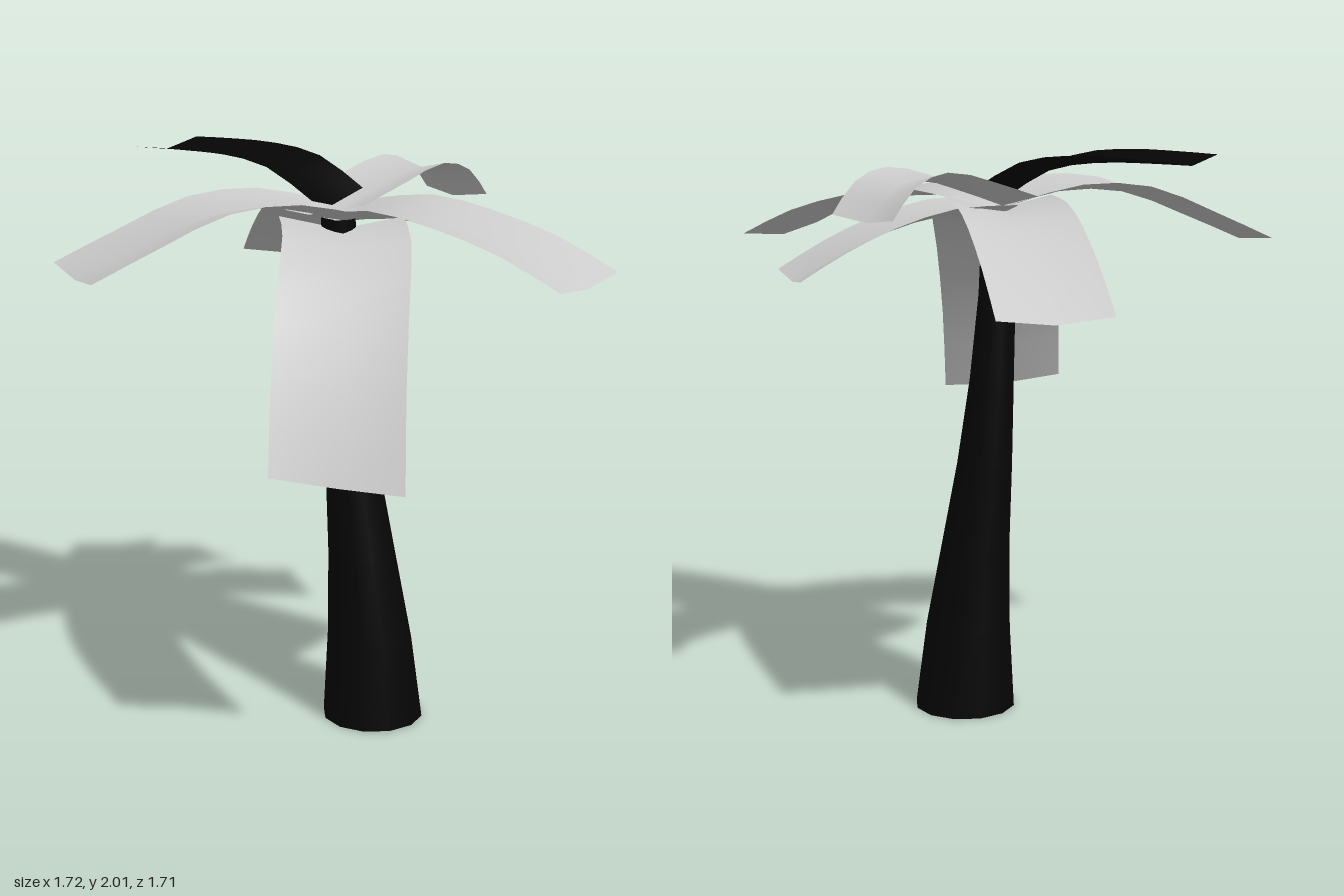
import * as THREE from 'three';

const grey = new THREE.MeshStandardMaterial({ color: 0xcccccc, side: THREE.DoubleSide });
const black = new THREE.MeshStandardMaterial({ color: 0x050505, side: THREE.DoubleSide });

// Leaning, tapered trunk: an open cylinder whose rings follow y, centre x, centre z, radius
function makeTrunk() {
  const rings = [
    [0, 0.197, 0.09, 0.18], [0.3, 0.187, 0.078, 0.152], [0.6, 0.165, 0.055, 0.122],
    [0.9, 0.138, 0.03, 0.098], [1.2, 0.118, 0.008, 0.078], [1.5, 0.1, 0, 0.065], [1.8, 0.09, 0, 0.06],
  ];
  const last = rings.length - 1;
  const geo = new THREE.CylinderGeometry(1, 1, last, 12, last, true);
  const p = geo.attributes.position;
  for (let i = 0; i < p.count; i++) {
    const [y, cx, cz, r] = rings[Math.round(p.getY(i) + last / 2)];
    p.setXYZ(i, cx + p.getX(i) * r, y, cz + p.getZ(i) * r);
  }
  geo.computeVertexNormals();
  return new THREE.Mesh(geo, black);
}

// Gutter-shaped strip: a curved midrib with two raised edges
function makeFrond({ path, base, tip, material = grey }) {
  const steps = 8;
  const curve = new THREE.CatmullRomCurve3(path.map((q) => new THREE.Vector3(...q)));
  const sideA = new THREE.Vector3(...base);
  const sideB = new THREE.Vector3(...tip);
  const pos = [], idx = [];
  for (let i = 0; i <= steps; i++) {
    const t = i / steps;
    const mid = curve.getPoint(t);
    const side = sideA.clone().lerp(sideB, t);
    const up = side.clone().cross(curve.getTangent(t)).normalize();
    if (up.y < 0) up.negate();
    up.multiplyScalar(0.045 - 0.02 * t);
    for (const s of [-1, 0, 1]) {
      const v = mid.clone().addScaledVector(side, s);
      if (s) v.add(up);
      pos.push(v.x, v.y, v.z);
    }
    if (i < steps) {
      for (const k of [0, 1]) {
        const a = i * 3 + k;
        idx.push(a, a + 1, a + 3, a + 1, a + 4, a + 3);
      }
    }
  }
  const geo = new THREE.BufferGeometry();
  geo.setAttribute('position', new THREE.Float32BufferAttribute(pos, 3));
  geo.setIndex(idx);
  geo.computeVertexNormals();
  // turn the upper face outwards
  if (geo.attributes.normal.getY(4) < 0) {
    geo.setIndex(idx.reverse());
    geo.computeVertexNormals();
  }
  return new THREE.Mesh(geo, material);
}

// Each frond: midrib points and the half-width vector at base and tip
const fronds = {
  darkFrond: {
    path: [[0.085, 1.835, -0.05], [-0.02, 1.935, -0.19], [-0.13, 1.968, -0.33], [-0.24, 1.975, -0.475], [-0.348, 1.975, -0.615]],
    base: [0.13, 0, -0.11], tip: [0.137, 0, -0.105], material: black,
  },
  backFrond: {
    path: [[0.09, 1.79, 0.02], [0.115, 1.79, -0.2], [0.14, 1.745, -0.4], [0.165, 1.645, -0.62], [0.19, 1.525, -0.825]],
    base: [0.187, 0, 0.02], tip: [0.187, 0, 0.022],
  },
  backLeftFrond: {
    path: [[0.1, 1.81, -0.06], [0.28, 1.875, -0.13], [0.45, 1.92, -0.23], [0.56, 1.89, -0.285], [0.645, 1.8, -0.325]],
    base: [0.06, 0, 0.155], tip: [0.066, 0, 0.125],
  },
  leftFrond: {
    path: [[0.09, 1.78, -0.03], [0.3, 1.78, -0.03], [0.5, 1.73, -0.028], [0.67, 1.66, -0.028], [0.82, 1.58, -0.027]],
    base: [0, 0, 0.167], tip: [0, 0, 0.167],
  },
  frontLeftFrond: {
    path: [[0.1, 1.79, -0.01], [0.25, 1.83, 0.175], [0.4, 1.8, 0.36], [0.55, 1.74, 0.545], [0.685, 1.65, 0.71]],
    base: [0.165, 0, -0.13], tip: [0.165, 0, -0.13],
  },
  frontFrond: {
    path: [[0.1, 1.76, 0], [0.05, 1.73, 0.2], [-0.02, 1.6, 0.37], [-0.09, 1.35, 0.53], [-0.14, 1.05, 0.66]],
    base: [0.2, 0, 0.07], tip: [0.2, -0.025, 0.087],
  },
  rightFrond: {
    path: [[0.1, 1.79, 0], [-0.13, 1.845, 0.01], [-0.37, 1.835, 0.025], [-0.6, 1.75, 0.04], [-0.835, 1.65, 0.046]],
    base: [0.015, 0, 0.2], tip: [0.018, 0, 0.21],
  },
};

export function createModel() {
  const tree = new THREE.Group();
  tree.name = 'palmTree';
  const trunk = makeTrunk();
  trunk.name = 'trunk';
  tree.add(trunk);
  for (const [name, spec] of Object.entries(fronds)) {
    const frond = makeFrond(spec);
    frond.name = name;
    tree.add(frond);
  }
  return tree;
}
